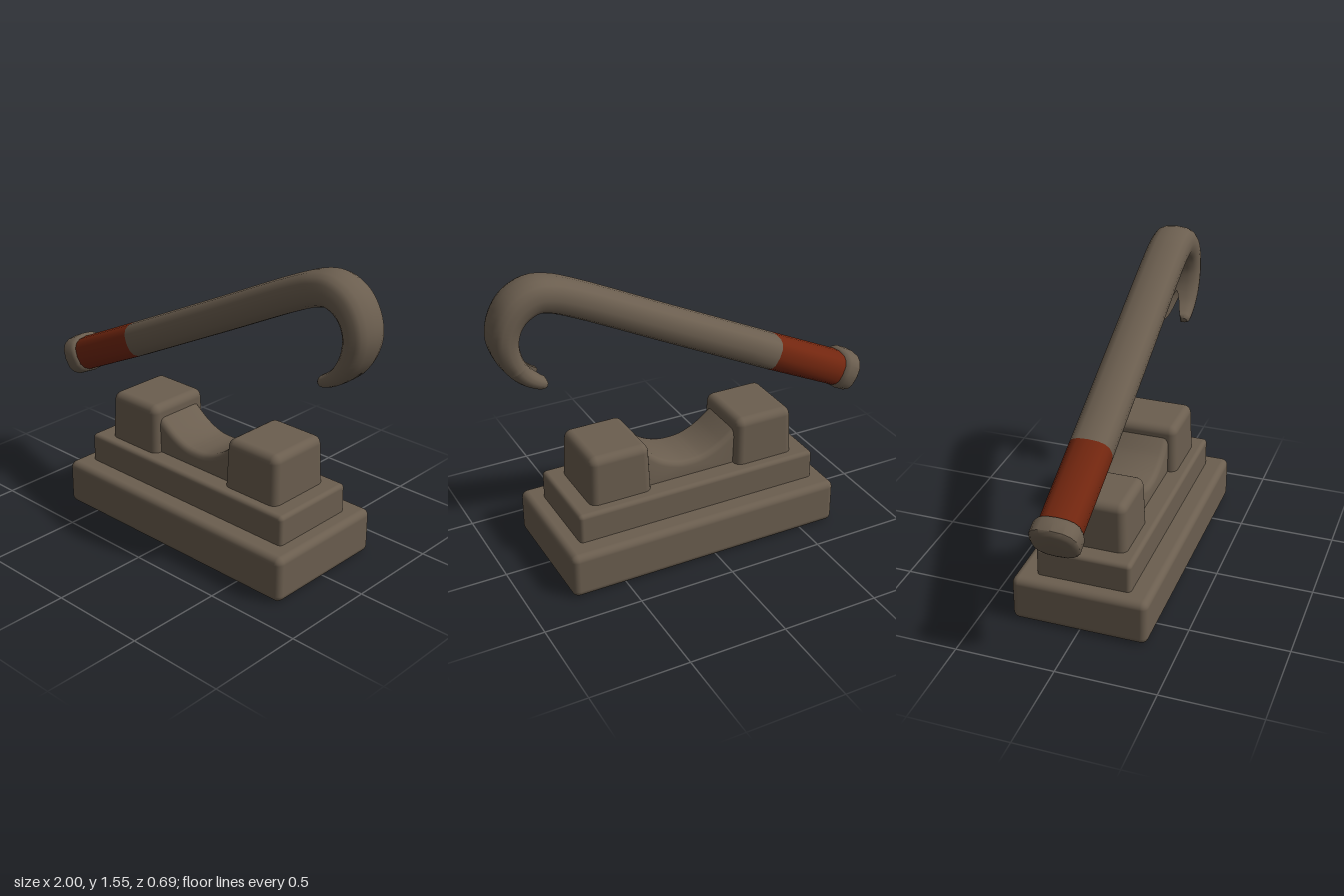
import * as THREE from 'three';
import { toCreasedNormals } from 'three/addons/utils/BufferGeometryUtils.js';
import { RoundedBoxGeometry } from 'three/addons/geometries/RoundedBoxGeometry.js';

const stone = new THREE.MeshStandardMaterial({ name: 'greyBrown', color: 0x6b5e4f });
const red = new THREE.MeshStandardMaterial({ name: 'rustRed', color: 0x72260f });
const SIDES = 16;
const V = (x, y, z) => new THREE.Vector3(x, y, z);

// One squarish-round section at p (p.z is its half thickness), across direction t.
// side 0 = whole ring; side 1 or -1 = half ring pushed outward to leave a gap.
function section(p, t, width, side = 0, gap = 0) {
  const l = Math.hypot(t.x, t.y), nx = -t.y / l, ny = t.x / l;
  const ring = [];
  const count = side ? SIDES / 2 + 1 : SIDES;
  const start = side < 0 ? Math.PI : 0;
  const soft = (v) => (Math.abs(v) < 1e-6 ? 0 : Math.sign(v) * Math.abs(v) ** 0.75);
  for (let j = 0; j < count; j++) {
    const a = start + (j / SIDES) * Math.PI * 2;
    const h = soft(Math.cos(a)) * p.z;
    const z = soft(Math.sin(a)) * (width - gap) + side * gap;
    ring.push(V(p.x + nx * h, p.y + ny * h, z));
  }
  return ring;
}

// Skin a row of sections and cap both ends
function loft(rings) {
  const n = rings[0].length, pos = [], idx = [];
  rings.forEach((r) => r.forEach((p) => pos.push(p.x, p.y, p.z)));
  for (let i = 0; i < rings.length - 1; i++) {
    for (let j = 0; j < n; j++) {
      const k = (j + 1) % n, a = i * n + j, b = i * n + k, c = b + n, d = a + n;
      idx.push(a, b, c, a, c, d);
    }
  }
  const last = (rings.length - 1) * n;
  for (let j = 1; j < n - 1; j++) {
    idx.push(0, j + 1, j, last, last + j, last + j + 1);
  }
  const g = new THREE.BufferGeometry();
  g.setAttribute('position', new THREE.Float32BufferAttribute(pos, 3));
  g.setIndex(idx);
  return toCreasedNormals(g, 0.8);
}

// Rounded block between given limits, narrowing towards its top
function block(x0, x1, y0, y1, halfZ, radius, taper = 0) {
  const g = new RoundedBoxGeometry(x1 - x0, y1 - y0, halfZ * 2, 3, radius);
  const p = g.attributes.position;
  for (let i = 0; i < p.count; i++) {
    const k = 1 - taper * (p.getY(i) / (y1 - y0) + 0.5);
    p.setX(i, p.getX(i) * k);
    p.setZ(i, p.getZ(i) * k);
  }
  g.translate((x0 + x1) / 2, (y0 + y1) / 2, 0);
  return g;
}

export function createModel() {
  const model = new THREE.Group();
  const add = (parent, name, geometry, material = stone) => {
    const m = new THREE.Mesh(geometry, material);
    m.name = name;
    parent.add(m);
  };

  // Stepped stand
  const stand = new THREE.Group();
  stand.name = 'stand';
  model.add(stand);
  add(stand, 'basePlinth', block(-0.69, 0.78, 0, 0.235, 0.345, 0.035));
  add(stand, 'upperStep', block(-0.615, 0.695, 0.18, 0.385, 0.24, 0.022));
  add(stand, 'rightPost', block(-0.527, -0.195, 0.34, 0.637, 0.187, 0.042, 0.06));
  add(stand, 'leftPost', block(0.275, 0.609, 0.34, 0.637, 0.187, 0.042, 0.06));

  // Curved saddle between the posts
  const s = new THREE.Shape();
  s.moveTo(-0.3, 0.34);
  s.lineTo(0.38, 0.34);
  s.lineTo(0.38, 0.58);
  s.lineTo(0.285, 0.58);
  s.splineThru([[0.2, 0.51], [0.11, 0.472], [0.03, 0.464], [-0.04, 0.474], [-0.12, 0.51], [-0.21, 0.575]]
    .map(([x, y]) => new THREE.Vector2(x, y)));
  s.lineTo(-0.3, 0.575);
  const saddle = new THREE.ExtrudeGeometry(s, {
    depth: 0.22, bevelThickness: 0.03, bevelSize: 0.03, bevelOffset: -0.03, bevelSegments: 3, curveSegments: 24,
  });
  saddle.translate(0, 0.0, -0.11);
  add(stand, 'saddle', toCreasedNormals(saddle, 0.7));

  // Crowbar: centre line with half thickness as third value
  const bar = new THREE.Group();
  bar.name = 'crowbar';
  model.add(bar);
  const W = 0.105;
  const line = [
    [-0.48, 0.893, 0.09], [0.1, 1.176, 0.086], [0.6, 1.42, 0.083], [0.7, 1.458, 0.083], [0.78, 1.468, 0.083],
    [0.86, 1.432, 0.08], [0.91, 1.37, 0.073], [0.932, 1.29, 0.068], [0.92, 1.21, 0.06], [0.89, 1.145, 0.052],
    [0.85, 1.095, 0.043], [0.8, 1.06, 0.035], [0.768, 1.047, 0.028],
  ].map((p) => V(...p));
  const curve = new THREE.CatmullRomCurve3(line);
  const split = 9 / 12;
  const along = (t0, t1, steps, make) =>
    Array.from({ length: steps + 1 }, (_, i) => {
      const t = t0 + ((t1 - t0) * i) / steps;
      return make(curve.getPoint(t), curve.getTangent(t), i / steps);
    });
  add(bar, 'shaftAndHook', loft(along(0, split, 36, (p, t) => section(p, t, W))));

  // Two claw prongs with a V gap between them
  for (const side of [1, -1]) {
    const rings = along(split, 1, 10, (p, t, f) => section(p, t, W - 0.008 * f, side, 0.045 * f ** 0.7));
    const tip = V(0.757, 1.042, 0.016);
    rings.push(section(tip, V(-1, -0.4, 0), W - 0.018, side, 0.055));
    add(bar, side > 0 ? 'frontProng' : 'backProng', loft(rings));
  }

  // Grip and end knob
  const dir = V(0.9, 0.436, 0);
  const straight = (rows) => loft(rows.map(([x, y, h, w]) => section(V(x, y, h), dir, w)));
  add(bar, 'grip', straight([[-0.875, 0.706, 0.09, 0.103], [-0.48, 0.893, 0.09, W]]), red);
  add(bar, 'endKnob', straight([
    [-0.966, 0.667, 0.078, 0.092], [-0.962, 0.669, 0.09, 0.107], [-0.95, 0.675, 0.104, 0.12],
    [-0.895, 0.702, 0.104, 0.12], [-0.879, 0.709, 0.095, 0.11], [-0.872, 0.712, 0.08, 0.092],
  ]));
  return model;
}
